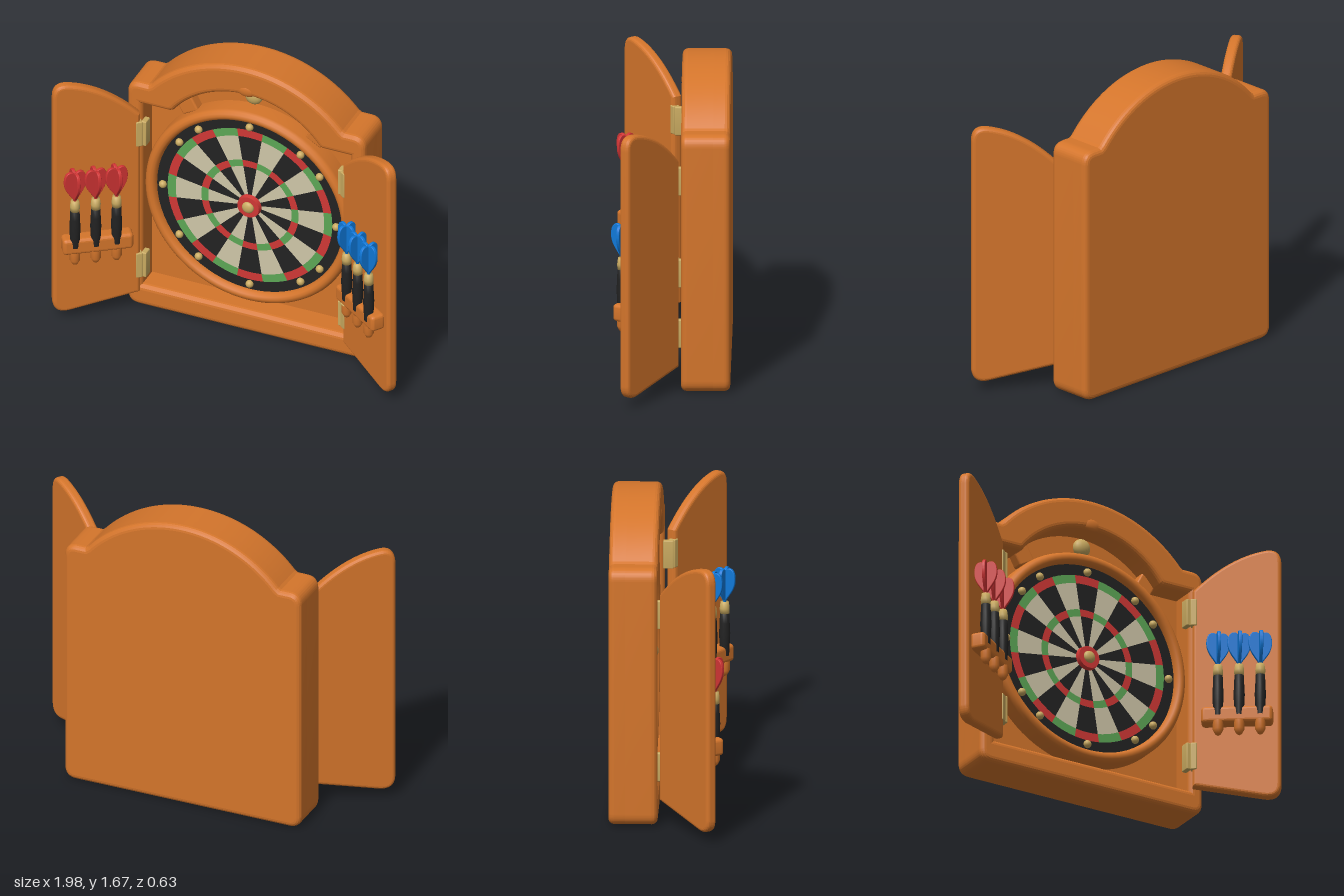
import * as THREE from 'three';
import { mergeGeometries, toCreasedNormals } from 'three/addons/utils/BufferGeometryUtils.js';

const mat = (name, color, extra = {}) => {
  const m = new THREE.MeshStandardMaterial({ color, ...extra });
  m.name = name;
  return m;
};
const wood = mat('wood', 0xd4752b);
const cream = mat('cream', 0xcfc6a8);
const black = mat('black', 0x222222);
const red = mat('red', 0xd03835);
const green = mat('green', 0x5ca655);
const brass = mat('brass', 0xc9aa60);
const redFlight = mat('flightRed', 0xd03434, { side: THREE.DoubleSide });
const blueFlight = mat('flightBlue', 0x0f78d8, { side: THREE.DoubleSide });

const BOARD_Y = 0.77, BOARD_Z = -0.11, PANEL_Z = -0.19;

function add(parent, name, geometry, material, x = 0, y = 0, z = 0) {
  const mesh = new THREE.Mesh(geometry, material);
  mesh.name = name;
  mesh.position.set(x, y, z);
  parent.add(mesh);
  return mesh;
}

// Rounded slab whose outline is the full size, running from z0 to z1
function slab(shape, z0, z1, r) {
  const g = new THREE.ExtrudeGeometry(shape, {
    depth: z1 - z0 - 2 * r, bevelThickness: r, bevelSize: r, bevelOffset: -r,
    bevelSegments: 4, curveSegments: 24,
  });
  g.translate(0, 0, z0 + r);
  return toCreasedNormals(g, 0.19);
}

function roundBox(w, h, d, r) {
  const s = new THREE.Shape(), x = w / 2, y = h / 2, c = r * 1.2;
  s.moveTo(-x + c, -y).lineTo(x - c, -y).quadraticCurveTo(x, -y, x, -y + c)
    .lineTo(x, y - c).quadraticCurveTo(x, y, x - c, y)
    .lineTo(-x + c, y).quadraticCurveTo(-x, y, -x, y - c)
    .lineTo(-x, -y + c).quadraticCurveTo(-x, -y, -x + c, -y);
  return slab(s, -d / 2, d / 2, r);
}

// Arch from (x, y) over the peak to (-x, y)
function arch(path, x, y, peak) {
  const sag = peak - y, R = (x * x + sag * sag) / (2 * sag), a = Math.asin(x / R);
  path.absarc(0, peak - R, R, Math.PI / 2 - a, Math.PI / 2 + a, false);
}

function cabinetOutline() {
  const s = new THREE.Shape(), w = 0.685, c = 0.07;
  s.moveTo(-w + c, 0).lineTo(w - c, 0).quadraticCurveTo(w, 0, w, c)
    .lineTo(w, 1.41 - c).quadraticCurveTo(w, 1.41, w - c, 1.41).lineTo(0.565, 1.41);
  arch(s, 0.55, 1.42, 1.67);
  s.lineTo(-0.565, 1.41).lineTo(-w + c, 1.41).quadraticCurveTo(-w, 1.41, -w, 1.41 - c)
    .lineTo(-w, c).quadraticCurveTo(-w, 0, -w + c, 0);
  return s;
}

function buildCabinet(root) {
  const g = new THREE.Group();
  g.name = 'cabinet';
  root.add(g);
  add(g, 'backPanel', slab(cabinetOutline(), -0.31, PANEL_Z, 0.03), wood);
  const frame = cabinetOutline();
  const hole = new THREE.Path();
  hole.moveTo(-0.6, 0.13).lineTo(0.6, 0.13).lineTo(0.6, 1.28).lineTo(0.44, 1.28);
  arch(hole, 0.42, 1.29, 1.5);
  hole.lineTo(-0.44, 1.28).lineTo(-0.6, 1.28).lineTo(-0.6, 0.13);
  frame.holes.push(hole);
  add(g, 'frontFrame', slab(frame, -0.25, -0.05, 0.03), wood);
  // Catch on the arch and knob beneath it
  const dome = new THREE.SphereGeometry(0.05, 20, 12).scale(1.1, 0.75, 0.4);
  add(g, 'archCatch', dome, wood, 0, 1.53, -0.065);
  add(g, 'knob', new THREE.SphereGeometry(0.05, 20, 14).scale(1, 1, 0.7), brass, 0, 1.435, -0.165);
  // Corner braces inside the arch
  for (const s of [-1, 1]) {
    const b = add(g, 'cornerBrace', roundBox(0.1, 0.16, 0.08, 0.01), wood, s * 0.39, 1.32, -0.17);
    b.rotation.z = s * -0.5;
  }
}

function buildBoard(root) {
  const g = new THREE.Group();
  g.name = 'dartboard';
  g.position.set(0, BOARD_Y, BOARD_Z);
  root.add(g);
  // Raised wooden surround
  const profile = [[0.598, -0.09], [0.598, 0.005], [0.592, 0.022], [0.58, 0.034], [0.565, 0.038],
    [0.55, 0.034], [0.54, 0.022], [0.535, 0.005], [0.535, -0.02]].map(p => new THREE.Vector2(...p));
  add(g, 'surround', new THREE.LatheGeometry(profile, 80).rotateX(Math.PI / 2), wood);

  // Twenty sectors, tiled ring by ring and grouped by colour
  const faces = new Map([[black, []], [cream, []], [red, []], [green, []]]);
  const bands = [[0.06, 0.24, false], [0.24, 0.28, true], [0.28, 0.428, false], [0.428, 0.475, true]];
  const step = Math.PI / 10;
  for (let i = 0; i < 20; i++) {
    const dark = i % 2 === 0;
    for (const [r0, r1, scoring] of bands) {
      const m = scoring ? (dark ? red : green) : (dark ? black : cream);
      faces.get(m).push(new THREE.RingGeometry(r0, r1, 5, 1, Math.PI / 2 + (i - 0.5) * step, step));
    }
  }
  faces.get(black).push(new THREE.RingGeometry(0.475, 0.537, 80));
  for (const [m, list] of faces) add(g, m.name + 'Sectors', mergeGeometries(list), m);

  // Bullseye and brass studs
  add(g, 'bullseye', new THREE.CylinderGeometry(0.062, 0.068, 0.03, 32).rotateX(Math.PI / 2), red, 0, 0, 0.01);
  add(g, 'bullStud', new THREE.SphereGeometry(0.034, 20, 12).scale(1, 1, 0.6), brass, 0, 0, 0.025);
  for (const n of [0, 2, 3, 5, 7, 8, 10, 12, 13, 15, 17, 18]) {
    const a = n * step;
    add(g, 'stud', new THREE.SphereGeometry(0.022, 14, 10), brass, 0.5 * Math.sin(a), 0.5 * Math.cos(a), 0.005);
  }
}

function buildDart(parent, x, z, flightMaterial) {
  const g = new THREE.Group();
  g.name = 'dart';
  g.position.set(x, 0, z);
  parent.add(g);
  const turned = (name, pts, m) =>
    add(g, name, new THREE.LatheGeometry(pts.map(p => new THREE.Vector2(...p)), 16), m);
  turned('tip', [[0, 0.385], [0.015, 0.395], [0.028, 0.42], [0.028, 0.47]], wood);
  turned('barrel', [[0.024, 0.5], [0.027, 0.56], [0.03, 0.62], [0.027, 0.68], [0.025, 0.735], [0, 0.735]], black);
  turned('collar', [[0, 0.73], [0.025, 0.73], [0.027, 0.76], [0.022, 0.795], [0, 0.795]], brass);
  // Two crossed heart-shaped flights
  const heart = new THREE.Shape();
  heart.moveTo(0, 0.785).bezierCurveTo(0.02, 0.83, 0.062, 0.86, 0.062, 0.92)
    .bezierCurveTo(0.062, 0.99, 0.02, 0.99, 0, 0.965)
    .bezierCurveTo(-0.02, 0.99, -0.062, 0.99, -0.062, 0.92)
    .bezierCurveTo(-0.062, 0.86, -0.02, 0.83, 0, 0.785);
  for (const a of [0.2, 0.2 + Math.PI / 2]) {
    add(g, 'flight', slab(heart, -0.009, 0.009, 0.004), flightMaterial).rotation.y = a;
  }
}

// side = 1 is the model's left door; local x runs from hinge to free edge
function buildDoor(root, side, flightMaterial) {
  const g = new THREE.Group();
  g.name = side > 0 ? 'leftDoor' : 'rightDoor';
  g.position.set(side * 0.615, 0, -0.045);
  g.rotation.y = -side * THREE.MathUtils.degToRad(35);
  root.add(g);
  const X = u => side * u;
  const s = new THREE.Shape();
  s.moveTo(X(0), 0.125).lineTo(X(0.38), 0.053).quadraticCurveTo(X(0.47), 0.04, X(0.47), 0.13)
    .lineTo(X(0.47), 1.41).quadraticCurveTo(X(0.47), 1.5, X(0.385), 1.488)
    .quadraticCurveTo(X(0.19), 1.455, X(0), 1.26).lineTo(X(0), 0.125);
  add(g, 'doorPanel', slab(s, 0, 0.06, 0.02), wood);
  add(g, 'dartRack', roundBox(0.38, 0.095, 0.085, 0.02), wood, X(0.24), 0.505, 0.092);
  for (const u of [0.14, 0.252, 0.364]) buildDart(g, X(u), 0.115, flightMaterial);
  // Brass hinges: one leaf on the door, one on the frame
  for (const y of [0.298, 1.135]) {
    add(g, 'doorHingeLeaf', roundBox(0.035, 0.155, 0.04, 0.006), brass, X(0.008), y, 0.045);
    add(root, 'frameHingeLeaf', roundBox(0.03, 0.155, 0.055, 0.006), brass, side * 0.567, y, -0.03);
  }
}

export function createModel() {
  const root = new THREE.Group();
  root.name = 'dartboardCabinet';
  buildCabinet(root);
  buildBoard(root);
  buildDoor(root, 1, blueFlight);
  buildDoor(root, -1, redFlight);
  return root;
}
